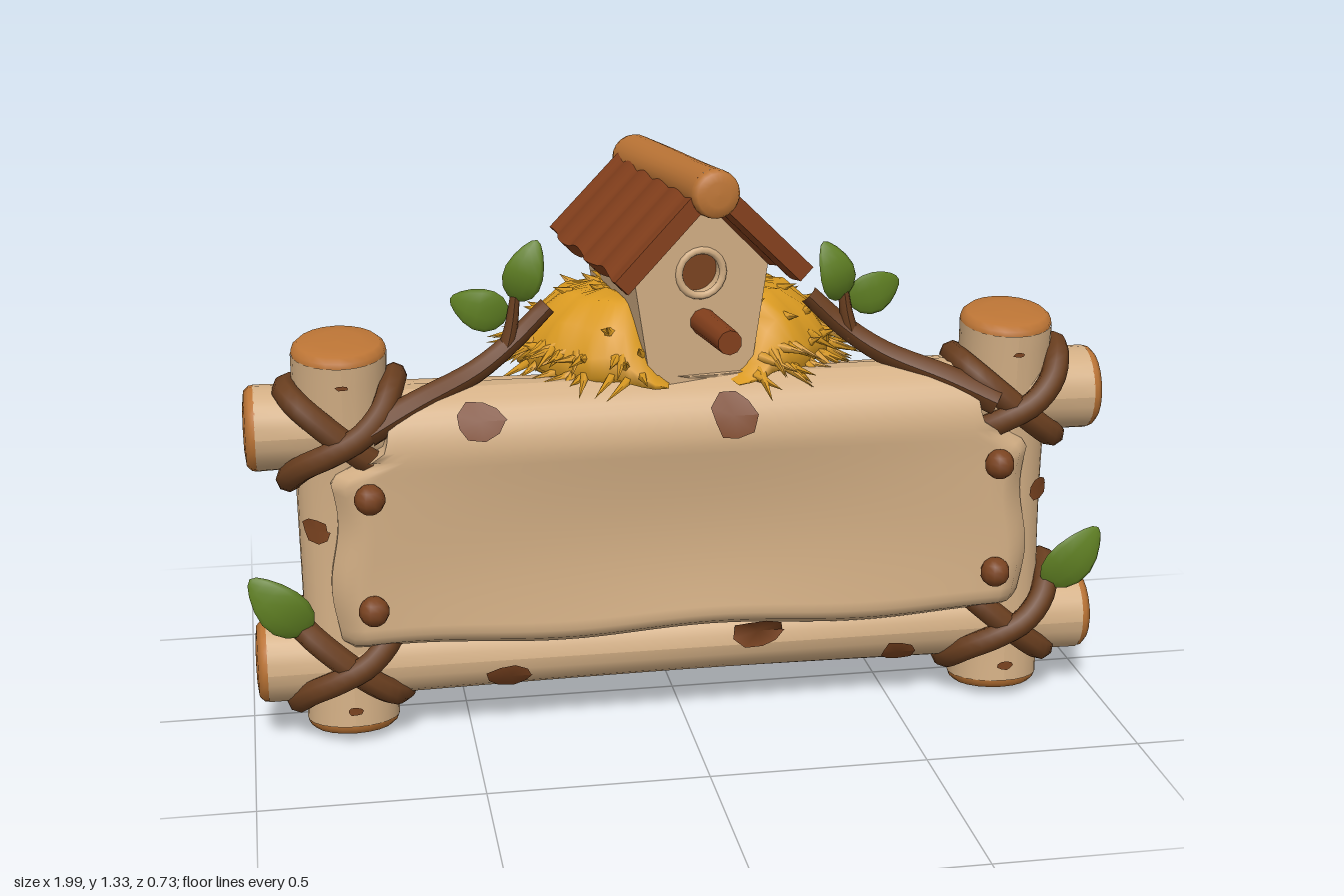
import * as THREE from 'three';
import { mergeGeometries } from 'three/addons/utils/BufferGeometryUtils.js';

const mat = (name, color, side = THREE.FrontSide) => {
  const m = new THREE.MeshStandardMaterial({ color, side });
  m.name = name;
  return m;
};
const M = {
  wood: mat('pale wood', 0xd2ae84),
  cut: mat('cut wood', 0xbb7435),
  vine: mat('vine brown', 0x693e1f),
  bark: mat('bark brown', 0x7a4320, THREE.DoubleSide),
  roof: mat('roof red brown', 0x833f1c),
  straw: mat('straw', 0xda9a21, THREE.DoubleSide),
  leaf: mat('leaf green', 0x5f7f23),
};
const V = (x, y, z) => new THREE.Vector3(x, y, z);
const smooth = THREE.MathUtils.smoothstep;
const points2 = list => list.map(p => new THREE.Vector2(...p));
let seed = 7;
const rand = () => (seed = (seed * 16807) % 2147483647) / 2147483647;

function add(parent, name, geo, material, pos = [0, 0, 0], rot = [0, 0, 0]) {
  const m = new THREE.Mesh(geo, material);
  m.name = name;
  m.position.set(...pos);
  m.rotation.set(...rot);
  parent.add(m);
  return m;
}
// move every vertex by a rule
function warp(geo, rule) {
  const p = geo.attributes.position, v = V(0, 0, 0);
  for (let i = 0; i < p.count; i++) {
    v.fromBufferAttribute(p, i);
    rule(v, i);
    p.setXYZ(i, v.x, v.y, v.z);
  }
  geo.computeVertexNormals();
  return geo;
}

// log along y: wavy shaft with a thinner waist and domed, tilted cut ends
function log(name, length, R, { bow = 0, waist = 0.07, tilt = 0, phase = 0, shaft = M.wood }) {
  const g = new THREE.Group();
  g.name = name;
  const h = length / 2;
  add(g, 'shaft', warp(new THREE.CylinderGeometry(R, R, length - 0.05, 24, 20, true), v => {
    const t = v.y / h, a = Math.atan2(v.x, v.z);
    const k = 1 - waist * (1 - t * t) + 0.035 * Math.sin(3 * a + phase + 2 * t) * (1 - t * t);
    v.y -= t * tilt * v.z;
    v.x *= k;
    v.z = v.z * k - bow * (1 - t * t);
  }), shaft);
  const profile = [[R * 0.99, -0.027], [R * 0.97, -0.015], [R * 0.86, -0.004], [R * 0.5, 0], [0, 0.001]];
  for (const s of [1, -1])
    add(g, 'cutEnd', new THREE.LatheGeometry(points2(profile), 20), M.cut,
      [0, s * h, 0], [s > 0 ? tilt : Math.PI - tilt, 0, 0]);
  return g;
}

// front surface of the draped board
const boardHalf = y => 0.8 - 0.13 * smooth(y, 0.64, 0.73) + 0.01 * Math.sin(y * 20);
function boardFront(x, y) {
  if (y > 0.7) return 0.12 + 0.126 * Math.sqrt(Math.max(0, 1 - ((y - 0.7) / 0.146) ** 2));
  const hw = boardHalf(y);
  const dish = 0.025 * Math.cos(Math.min(1, Math.abs(x) / hw) * Math.PI / 2) * Math.sin((y - 0.24) / 0.46 * Math.PI);
  const side = Math.max(0, (Math.abs(x) - hw + 0.05) / 0.05), low = Math.max(0, (0.28 - y) / 0.04);
  return 0.246 - Math.max(0, dish) - 0.05 * Math.min(1, side * side) - 0.05 * Math.min(1, low * low);
}
function board() {
  return warp(new THREE.BoxGeometry(2, 1, 1, 56, 30, 1), v => {
    const y = 0.24 + 0.6 * (v.y + 0.5), x = v.x * boardHalf(y);
    v.z = v.z > 0 ? boardFront(x, y) : 0.135 - 0.02 * smooth(y, 0.7, 0.84);
    v.x = x;
    v.y = y + 0.008 * Math.sin(x * 9 + 1) * (1 - smooth(y, 0.24, 0.45));
  });
}

// ragged patch laid over a surface z = zAt(x, y)
function spot(g, x, y, r, zAt, squash = 1) {
  add(g, 'barkSpot', warp(new THREE.CircleGeometry(r, 9), v => {
    const k = 0.85 + 0.35 * rand();
    v.x = x + v.x * k;
    v.y = y + v.y * k * squash;
    v.z = zAt(v.x, v.y) + 0.006;
  }), M.bark);
}

// tube whose radius shrinks from r0 to r1
function taperTube(points, r0, r1, n = 16) {
  const path = new THREE.CatmullRomCurve3(points.map(p => V(...p)));
  return warp(new THREE.TubeGeometry(path, n, r0, 8), (v, i) => {
    const t = Math.floor(i / 9) / n, c = path.getPointAt(t);
    v.sub(c).multiplyScalar(1 + (r1 / r0 - 1) * t).add(c);
  });
}

// pointed leaf growing along +y from its base
function leaf(g, pos, rot, len, wid) {
  const geo = warp(new THREE.SphereGeometry(1, 10, 8), v => {
    const t = (v.y + 1) / 2;
    v.x *= wid / 2 * (1 - 0.45 * t * t);
    v.z = v.z * 0.012 + 0.02 * Math.sin(t * Math.PI);
    v.y = t * len;
  });
  add(g, 'leaf', geo, M.leaf, pos, rot);
}

// two vine loops crossing over a corner joint
function lashing(x, y) {
  const g = new THREE.Group();
  g.name = 'vineLashing';
  for (const s of [1, -1]) {
    const pts = [];
    for (let i = 0; i < 14; i++) {
      const a = i / 14 * Math.PI * 2, d = 0.165 * Math.cos(a), w = 0.01 * Math.sin(3 * a + s);
      pts.push(V(x + s * d * 0.78 - w, y + d * 0.64 + w, 0.093 + (0.127 + 0.006 * s) * Math.sin(a)));
    }
    add(g, 'vineLoop', new THREE.TubeGeometry(new THREE.CatmullRomCurve3(pts, true), 40, 0.03, 8, true), M.vine);
  }
  return g;
}

function nest() {
  const g = new THREE.Group();
  g.name = 'nest';
  const profile = points2([[0.9, 0.825], [1, 0.845], [0.98, 0.89], [0.87, 0.95], [0.7, 1.0], [0.5, 1.01], [0.3, 0.99]]);
  // straw mound, parted at the front where the house shows
  const shape = v => {
    const a = Math.atan2(v.x, v.z), r = Math.hypot(v.x, v.z);
    const h = smooth(Math.abs(a - 0.1), 0.2, 0.65);
    const k = 1 + 0.012 * Math.sin(a * 17) + 0.01 * Math.sin(a * 29 + r * 20);
    v.y = 0.83 + (v.y - 0.83) * h - 0.03 * r * smooth(-v.z, 0, 1) + 0.005 * Math.sin(a * 11 + r * 14);
    v.x = 0.01 + v.x * 0.37 * k;
    v.z = -0.055 + v.z * (v.z > 0 ? 0.275 : 0.25) * k;
  };
  add(g, 'strawMound', warp(new THREE.LatheGeometry(profile, 72, 0.3, Math.PI * 2 - 0.45), shape), M.straw);
  // loose straws: long ones round the rim, stubs on top
  const straws = [], up = V(0, 1, 0);
  for (let i = 0; i < 180; i++) {
    const a = 0.42 + rand() * (Math.PI * 2 - 0.7), rim = i % 3 !== 0;
    const q = profile[rim ? 1 + Math.floor(rand() * 2) : 2 + Math.floor(rand() * 4)];
    const p = V(q.x * Math.sin(a), q.y, q.x * Math.cos(a));
    shape(p);
    const b = a + (rand() - 0.5) * 0.9;
    const dir = V(Math.sin(b), rim ? -0.6 + rand() * 0.6 : 0.2 + rand() * 0.5, Math.cos(b)).normalize();
    const len = rim ? 0.08 + rand() * 0.03 : 0.045;
    const cone = new THREE.ConeGeometry(0.014, len, 5);
    cone.translate(0, len * 0.22, 0);
    cone.applyQuaternion(new THREE.Quaternion().setFromUnitVectors(up, dir));
    straws.push(cone.translate(p.x, p.y, p.z));
  }
  add(g, 'straws', mergeGeometries(straws), M.straw);
  // shallow bowl under the straw
  const bowl = new THREE.LatheGeometry(points2([[0, 0.803], [0.6, 0.806], [0.86, 0.82], [0.95, 0.845], [0, 0.85]]), 32);
  add(g, 'nestBase', warp(bowl, v => { v.x *= 0.36; v.z *= 0.245; }), M.wood, [0.01, 0, -0.055]);
  return g;
}

function birdhouse() {
  const g = new THREE.Group();
  g.name = 'birdhouse';
  g.position.set(0.01, 0, -0.02);
  g.rotation.y = 0.14;
  const wall = () => new THREE.Shape(points2([[-0.115, 0.81], [0.115, 0.81], [0.158, 1.09], [0, 1.25], [-0.158, 1.09]]));
  add(g, 'walls', new THREE.ExtrudeGeometry(wall(), { depth: 0.36, bevelEnabled: false }), M.wood, [0, 0, -0.21]);
  const front = wall();
  front.holes.push(new THREE.Path().absarc(0, 1.08, 0.048, 0, Math.PI * 2, true));
  add(g, 'frontWall', new THREE.ExtrudeGeometry(front, { depth: 0.04, bevelEnabled: false, curveSegments: 20 }), M.wood, [0, 0, 0.15]);
  add(g, 'entranceRim', new THREE.TorusGeometry(0.052, 0.009, 8, 20), M.wood, [0, 1.08, 0.189]);
  add(g, 'entrance', new THREE.CircleGeometry(0.05, 20), M.bark, [0, 1.08, 0.153]);
  add(g, 'perch', new THREE.CylinderGeometry(0.028, 0.031, 0.2, 10), M.roof, [0.005, 0.968, 0.275], [Math.PI / 2, 0, 0]);
  // gently corrugated roof halves
  for (const s of [1, -1]) {
    const geo = warp(new THREE.BoxGeometry(0.27, 0.042, 0.57, 6, 1, 40), v => {
      v.y += 0.008 * Math.abs(Math.sin(v.z * 27));
      v.x += s * 0.007 * Math.sin(v.z * 30) * (s * v.x > 0 ? 1 : 0);
      v.z *= 1 + 0.06 * s * v.x;
    });
    add(g, 'roofHalf', geo, M.roof, [s * 0.109, 1.172, 0], [-0.02, 0, -s * 0.78]);
  }
  const ridge = log('ridgeLog', 0.65, 0.055, { waist: 0.03, phase: 1, shaft: M.cut });
  ridge.position.set(0, 1.262, -0.015);
  ridge.rotation.x = Math.PI / 2 - 0.06;
  g.add(ridge);
  return g;
}

export function createModel() {
  const g = new THREE.Group();
  g.name = 'signboard';
  const place = (o, x, y, z, rz = 0) => {
    o.position.set(x, y, z);
    o.rotation.z = rz;
    g.add(o);
  };
  // frame
  place(log('topLog', 1.975, 0.098, { waist: 0.12, phase: 0.5 }), 0, 0.75, 0.1, Math.PI / 2);
  place(log('bottomLog', 1.975, 0.096, { phase: 2 }), 0, 0.19, 0.105, Math.PI / 2);
  for (const s of [1, -1])
    place(log('post', 0.93, 0.107, { bow: 0.016, waist: 0.03, tilt: 0.13, phase: s }), s * 0.77, 0.48, 0.1);
  add(g, 'board', board(), M.wood);

  // bark spots
  const bottomZ = (x, y) => 0.105 + Math.sqrt(Math.max(0, 0.092 ** 2 - (y - 0.19) ** 2));
  const lowZ = (x, y) => Math.max(bottomZ(x, y), y > 0.24 ? boardFront(x, y) : 0);
  spot(g, -0.47, 0.78, 0.052, boardFront, 0.75);
  spot(g, 0.1, 0.765, 0.05, boardFront);
  spot(g, 0.17, 0.222, 0.055, lowZ, 0.7);
  spot(g, -0.41, 0.148, 0.052, bottomZ, 0.6);
  spot(g, 0.51, 0.14, 0.042, bottomZ, 0.7);
  for (const s of [1, -1]) {
    const postZ = x => 0.1 + Math.sqrt(Math.max(0, 0.106 ** 2 - (x - s * 0.77) ** 2));
    spot(g, s * 0.84, 0.53, 0.028, postZ);
    spot(g, s * 0.77, 0.095, 0.018, postZ, 0.6);
    spot(g, s * 0.77, 0.865, 0.014, postZ, 0.4);
    // pegs
    for (const y of [0.62, 0.355])
      add(g, 'peg', new THREE.SphereGeometry(0.035, 10, 7), M.bark, [s * 0.72, y, 0.255]);
    // vines, branches and leaves
    g.add(lashing(s * 0.77, 0.74), lashing(s * 0.77, 0.2));
    add(g, 'branch', taperTube([[s * 0.72, 0.76, 0.215], [s * 0.61, 0.81, 0.18], [s * 0.47, 0.865, 0.13],
      [s * 0.38, 0.925, 0.1], [s * 0.3, 1.0, 0.09]], 0.034, 0.022), M.vine);
    add(g, 'twig', taperTube([[s * 0.4, 0.9, 0.11], [s * 0.385, 0.96, 0.11], [s * 0.375, 1.03, 0.11]], 0.019, 0.011, 8), M.vine);
    const dy = s < 0 ? 0.03 : 0;
    leaf(g, [s * 0.375, 0.99 + dy, 0.11], [0, s * 0.3, s * 0.36], 0.15, 0.1);
    leaf(g, [s * 0.39, 0.985, 0.1], [0, s * 0.2, -s * 1.3], 0.135, 0.11);
    leaf(g, [s * 0.865, 0.29, 0.19], [0, 0, -s * 0.75], 0.185, 0.125);
  }
  g.add(nest(), birdhouse());
  return g;
}
